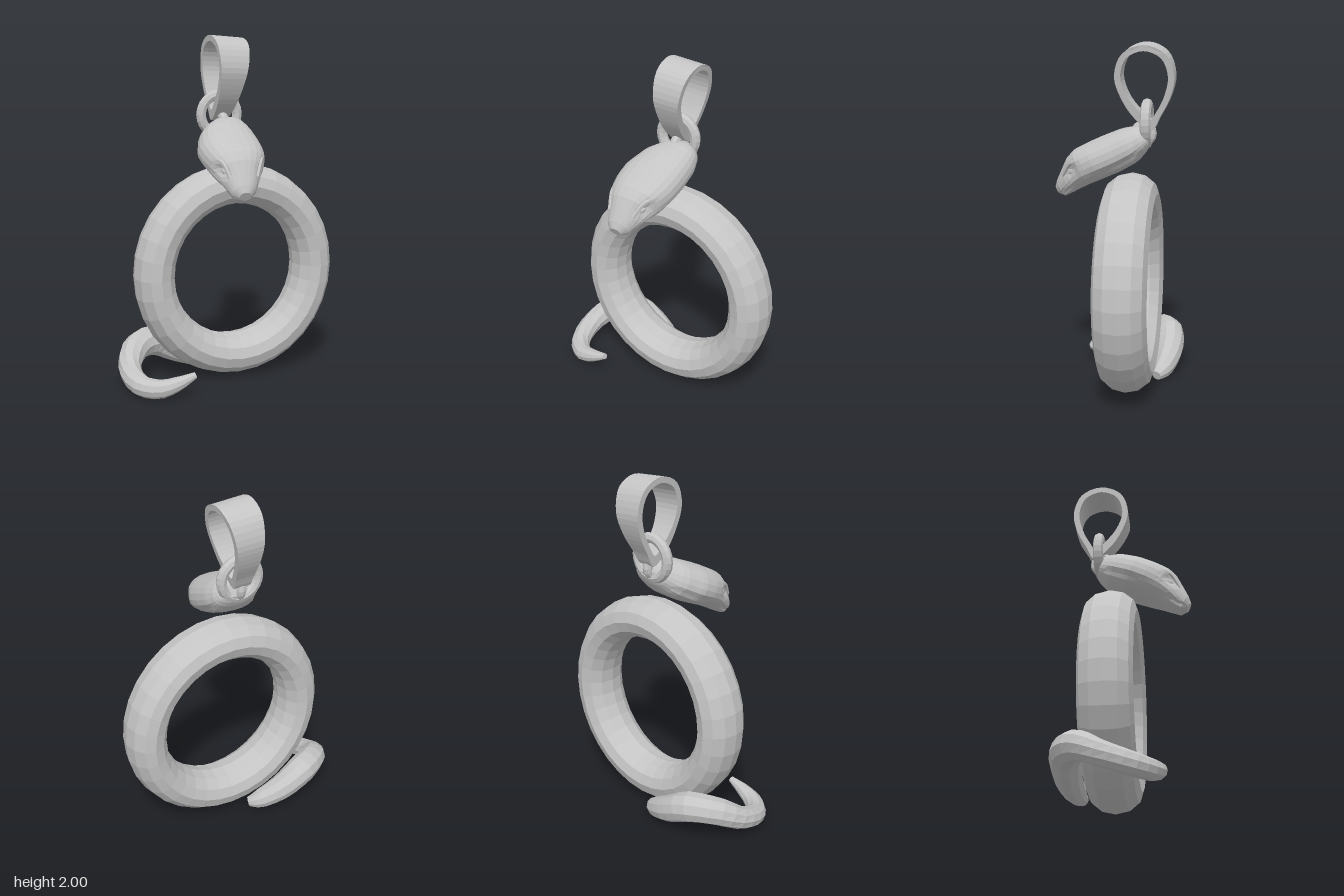
import * as THREE from 'three';

const silver = new THREE.MeshStandardMaterial({ color: 0xc4c4c4, flatShading: true });
silver.name = 'silver';

const V = (x, y, z) => new THREE.Vector3(x, y, z);

function part(name, geometry) {
  const mesh = new THREE.Mesh(geometry, silver);
  mesh.name = name;
  return mesh;
}

// Skin a list of equal-sized rings of points and close both ends
function loft(rings) {
  const n = rings[0].length, pos = [], idx = [];
  rings.forEach(r => r.forEach(p => pos.push(p.x, p.y, p.z)));
  for (let i = 0; i < rings.length - 1; i++) {
    for (let j = 0; j < n; j++) {
      const a = i * n + j, b = i * n + (j + 1) % n;
      idx.push(a, b, a + n, b, b + n, a + n);
    }
  }
  [0, rings.length - 1].forEach((i, end) => {
    const c = rings[i].reduce((s, p) => s.add(p), V(0, 0, 0)).divideScalar(n);
    const k = pos.length / 3;
    pos.push(c.x, c.y, c.z);
    for (let j = 0; j < n; j++) {
      const a = i * n + j, b = i * n + (j + 1) % n;
      if (end) idx.push(k, a, b); else idx.push(k, b, a);
    }
  });
  const g = new THREE.BufferGeometry();
  g.setAttribute('position', new THREE.Float32BufferAttribute(pos, 3));
  g.setIndex(idx);
  g.computeVertexNormals();
  return g;
}

// Interpolate rows of numbers against their first column
function sampleRow(rows, x) {
  let i = 0;
  while (i < rows.length - 2 && x > rows[i + 1][0]) i++;
  const t = (x - rows[i][0]) / (rows[i + 1][0] - rows[i][0]);
  return rows[i].map((v, k) => THREE.MathUtils.lerp(v, rows[i + 1][k], t));
}

// Head frame: along runs from nape to snout, lift is the head's own up
const nape = V(0, 1.46, -0.19), along = V(0, -0.48, 0.877), lift = V(0, 0.877, 0.48);
const headPoint = (s, t, x) =>
  nape.clone().addScaledVector(along, s).addScaledVector(lift, t).setX(x);

// Distance along, top, bottom, half width, centre x
const headRows = [
  [-0.01, 0.075, 0.0, 0.06, 0.03], [0.03, 0.108, -0.04, 0.113, 0.02],
  [0.12, 0.134, -0.076, 0.163, -0.01], [0.24, 0.147, -0.08, 0.186, -0.033],
  [0.33, 0.153, -0.072, 0.182, -0.037], [0.42, 0.155, -0.064, 0.16, -0.042],
  [0.48, 0.135, -0.062, 0.13, -0.05], [0.54, 0.092, -0.062, 0.098, -0.058],
  [0.6, 0.047, -0.06, 0.068, -0.066], [0.627, 0.02, -0.035, 0.036, -0.068],
];

function headGeometry() {
  const rings = [], steps = 22, sides = 24;
  for (let i = 0; i <= steps; i++) {
    const [s, top, bottom, w, cx] = sampleRow(headRows, -0.01 + 0.637 * i / steps);
    const mid = (top + bottom) / 2 - 0.01, ring = [];
    for (let j = 0; j < sides; j++) {
      const a = j / sides * Math.PI * 2, c = Math.cos(a), sn = Math.sin(a);
      const t = mid + (sn > 0 ? top - mid : mid - bottom) * Math.sign(sn) * Math.abs(sn) ** 0.9;
      let x = w * Math.sign(c) * Math.abs(c) ** 0.85;
      // Eye sockets and the mouth crease
      const eye = Math.exp(-(((s - 0.475) / 0.045) ** 2) - ((t - 0.06) / 0.03) ** 2);
      const mouth = s > 0.1 ? Math.exp(-(((t + 0.032) / 0.01) ** 2)) : 0;
      x -= Math.sign(c) * Math.min(Math.abs(x), 0.028 * eye + 0.01 * mouth);
      ring.push(headPoint(s, t, cx + x));
    }
    rings.push(ring);
  }
  return loft(rings);
}

// Centre x, y, z and radius along the tail
const tailRows = [
  [-0.05, 0.04, -0.23, 0.03], [-0.11, 0.06, -0.26, 0.058], [-0.25, 0.122, -0.29, 0.078],
  [-0.4, 0.196, -0.278, 0.088], [-0.53, 0.188, -0.198, 0.08], [-0.605, 0.118, -0.07, 0.064],
  [-0.587, 0.067, 0.08, 0.06], [-0.5, 0.062, 0.168, 0.054], [-0.4, 0.09, 0.194, 0.04],
  [-0.3, 0.125, 0.195, 0.018],
];

function tailGeometry() {
  const path = new THREE.CatmullRomCurve3(tailRows.map(r => V(r[0], r[1], r[2])));
  const rings = [], steps = 24, sides = 10;
  for (let i = 0; i <= steps; i++) {
    const u = i / steps, p = path.getPoint(u), tan = path.getTangent(u);
    const side = V(0, 1, 0).cross(tan).normalize(), up = tan.clone().cross(side);
    const k = u * (tailRows.length - 1), k0 = Math.min(Math.floor(k), tailRows.length - 2);
    const r = THREE.MathUtils.lerp(tailRows[k0][3], tailRows[k0 + 1][3], k - k0);
    rings.push(Array.from({ length: sides }, (_, j) => {
      const a = j / sides * Math.PI * 2;
      return p.clone().addScaledVector(side, r * Math.cos(a)).addScaledVector(up, r * Math.sin(a));
    }));
  }
  return loft(rings);
}

// Teardrop strap, wide at the top and narrow at the bottom
function bailGeometry() {
  const loop = pts => new THREE.CatmullRomCurve3(pts.map(([u, y]) => V(u, y, 0)), true)
    .getPoints(40).slice(0, -1).map(p => new THREE.Vector2(p.x, p.y));
  const outer = loop([
    [0.2, 1.515], [0.1, 1.59], [0.03, 1.7], [-0.004, 1.82], [0.04, 1.945],
    [0.16, 1.995], [0.28, 1.945], [0.327, 1.82], [0.302, 1.7], [0.245, 1.59],
  ]);
  const inner = loop([
    [0.19, 1.575], [0.127, 1.63], [0.065, 1.71], [0.03, 1.82], [0.065, 1.922],
    [0.16, 1.962], [0.255, 1.922], [0.292, 1.82], [0.27, 1.71], [0.225, 1.62],
  ]);
  // The hole runs opposite to the outline so its wall faces inward
  const shape = new THREE.Shape(outer);
  shape.holes.push(new THREE.Path(inner.reverse()));
  const g = new THREE.ExtrudeGeometry(shape, { depth: 2, bevelEnabled: false });
  g.translate(0, 0, -1).rotateY(Math.PI / 2);
  const p = g.attributes.position;
  for (let i = 0; i < p.count; i++) {
    const y = p.getY(i), h = THREE.MathUtils.clamp((y - 1.52) / 0.46, 0, 1);
    const off = p.getX(i) * THREE.MathUtils.lerp(0.048, 0.1, h);
    p.setX(i, 0.03 * h + off);
    p.setY(i, y - 0.08 * h * off);
  }
  g.computeVertexNormals();
  return g;
}

export function createModel() {
  const model = new THREE.Group();
  model.name = 'serpentPendant';

  // Body ring with an oval section
  const ring = part('bodyRing', new THREE.TorusGeometry(0.5, 0.116, 12, 32));
  ring.scale.set(1, 1.025, 1.28);
  ring.position.set(0.052, 0.642, -0.083);
  model.add(ring);

  model.add(part('tail', tailGeometry()));

  const head = new THREE.Group();
  head.name = 'head';
  head.add(part('skull', headGeometry()));
  for (const side of [-1, 1]) {
    // Eye and the brow ridge over it
    const eye = part('eye', new THREE.SphereGeometry(1, 10, 6));
    eye.scale.set(0.016, 0.02, 0.036);
    eye.position.copy(headPoint(0.475, 0.052, -0.05 + side * 0.095));
    eye.rotation.set(0.6, -side * 0.45, 0);
    const brow = new THREE.CatmullRomCurve3([
      headPoint(0.4, 0.085, -0.04 + side * 0.14), headPoint(0.46, 0.098, -0.048 + side * 0.11),
      headPoint(0.54, 0.055, -0.058 + side * 0.078),
    ]);
    head.add(eye, part('brow', new THREE.TubeGeometry(brow, 8, 0.012, 6)));
  }
  model.add(head);

  // Lug behind the head, the jump ring through it, and the hanging strap
  const lug = part('lug', new THREE.TorusGeometry(0.048, 0.027, 8, 16));
  lug.rotation.y = Math.PI / 2;
  lug.position.set(0, 1.495, -0.15);
  const jump = part('jumpRing', new THREE.TorusGeometry(0.112, 0.03, 8, 24));
  jump.position.set(-0.008, 1.55, -0.168);
  model.add(lug, jump, part('bail', bailGeometry()));

  return model;
}
